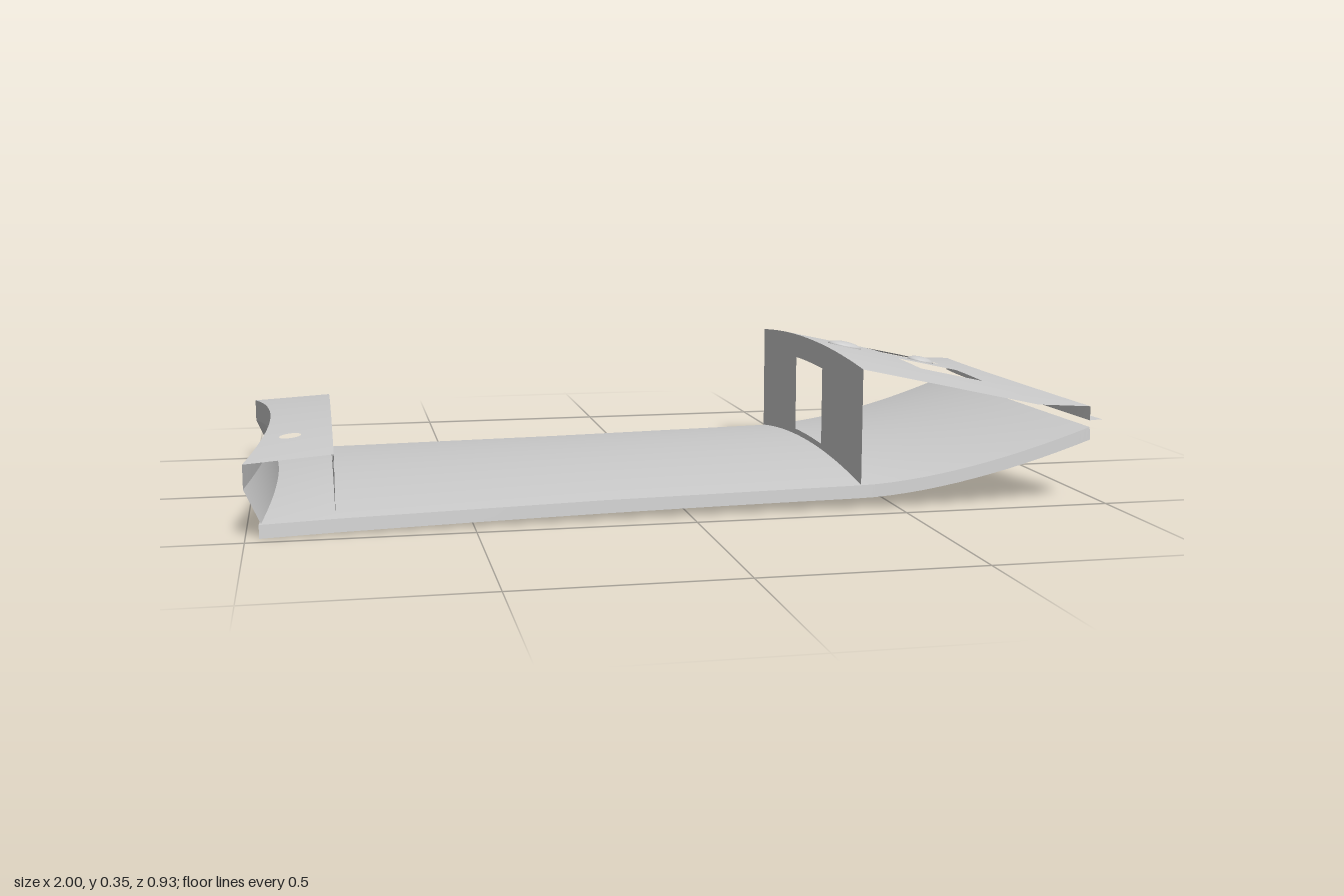
import * as THREE from 'three';

const mat = new THREE.MeshStandardMaterial({ color: 0xcccccc, side: THREE.DoubleSide });

// Plan outline: slightly waisted, wider at both ends
const halfWidth = x => 0.428 + 0.036 * x * x;

// A row is [centre x, centre y, edge x, edge y]; t runs -1..1 across the width
const at = ([xc, yc, xe, ye], t) => {
  const x = xc + (xe - xc) * t * t;
  return [x, yc + (ye - yc) * t * t, t * halfWidth(x)];
};
const mix = (a, b, u) => a.map((v, i) => v + (b[i] - v) * u);

function gridGeometry(points, skip = () => false) {
  const cols = points[0].length, index = [];
  for (let i = 0; i < points.length - 1; i++)
    for (let j = 0; j < cols - 1; j++) {
      if (skip(i, j)) continue;
      const a = i * cols + j, b = a + cols;
      index.push(a, a + 1, b, b, a + 1, b + 1);
    }
  const g = new THREE.BufferGeometry();
  g.setAttribute('position', new THREE.Float32BufferAttribute(points.flat(2), 3));
  g.setIndex(index);
  g.computeVertexNormals();
  return g;
}

// Columns across the width, with extra ones at cutout edges
function columns(extra = []) {
  const base = Array.from({ length: 33 }, (_, i) => -1 + i / 16);
  return [...new Set([...base, ...extra])].sort((a, b) => a - b);
}

export function createModel() {
  const model = new THREE.Group();
  const add = (name, geometry) => {
    const m = new THREE.Mesh(geometry, mat);
    m.name = name;
    model.add(m);
    return m;
  };

  // Crowned sheet; cut(row, t) removes cells
  const sheet = (name, rows, extra, cut) => {
    const ts = columns(extra);
    const skip = cut && ((i, j) => cut(i, (ts[j] + ts[j + 1]) / 2));
    return add(name, gridGeometry(rows.map(r => ts.map(t => at(r, t))), skip));
  };

  // Floor: nearly flat, sweeping up at the +x end
  const floorRows = [[-0.95, 0.05, -0.97, 0.03], [-0.8, 0.064, -0.8, 0.034],
    [-0.2, 0.075, -0.2, 0.045], [0.4, 0.085, 0.4, 0.055]];
  for (let i = 1; i <= 14; i++) {
    const s = i / 14, rise = s ** 1.7;
    floorRows.push([0.4 + 0.505 * s, 0.085 + 0.115 * rise, 0.4 + 0.57 * s, 0.055 + 0.125 * rise]);
  }
  sheet('floor', floorRows);

  // Lips hanging from both long edges of the floor
  for (const side of [-1, 1]) {
    const fine = [];
    for (let i = 0; i < floorRows.length - 1; i++)
      for (let k = 0; k < 4; k++) fine.push(mix(floorRows[i], floorRows[i + 1], k / 4));
    fine.push(floorRows.at(-1));
    const lip = fine.map(r => {
      const [x, y, z] = at(r, side);
      return [[x, y, z], [x, y - 0.03, z + side * 0.004]];
    });
    add('sideLip', gridGeometry(lip));
  }

  // Bulkhead with a doorway
  const door = 0.265;
  sheet('bulkhead',
    [[0.41, 0.086, 0.41, 0.056], [0.41, 0.1, 0.41, 0.07], [0.41, 0.292, 0.41, 0.27], [0.41, 0.352, 0.41, 0.33]],
    [-door, door], (i, t) => i === 1 && Math.abs(t) < door);

  // Sloping deck with two square hatches
  const deckA = [0.41, 0.352, 0.41, 0.33], deckB = [0.82, 0.262, 0.84, 0.237];
  const deckRows = [0, 0.535, 0.925, 1].map(u => mix(deckA, deckB, u));
  const h0 = 0.135, h1 = 0.495;
  sheet('deck', deckRows, [-h1, -h0, h0, h1],
    (i, t) => i === 1 && Math.abs(t) > h0 && Math.abs(t) < h1);

  // Deck end, rim band and projecting flange
  const rimTop = [0.905, 0.25, 0.97, 0.23], rimLow = [0.905, 0.215, 0.97, 0.196];
  sheet('deckEnd', [deckB, rimTop]);
  sheet('rim', [rimTop, rimLow]);
  sheet('flange', [rimLow, [0.925, 0.218, 1, 0.198]]);

  // Low hoods on the deck
  for (const [x, z, lx, lz] of [[0.505, 0, 0.045, 0.03], [0.72, -0.02, 0.035, 0.03]]) {
    const hood = add('hood', new THREE.SphereGeometry(1, 20, 6, 0, Math.PI * 2, 0, Math.PI / 2));
    hood.scale.set(lx, 0.012, lz);
    hood.position.set(x, 0.352 - (x - 0.41) * 0.2195, z);
    hood.rotation.z = -0.216;
  }

  // Low box at the -x end: inner wall with two openings
  const w0 = 0.25, w1 = 0.6;
  sheet('boxInnerWall',
    [[-0.805, 0.064, -0.805, 0.034], [-0.805, 0.105, -0.805, 0.08], [-0.805, 0.172, -0.805, 0.15], [-0.805, 0.2, -0.805, 0.178]],
    [-w1, -w0, w0, w1], (i, t) => i === 1 && Math.abs(t) > w0 && Math.abs(t) < w1);

  // Box top with a round port
  const topA = [-0.95, 0.188, -1, 0.165], topB = [-0.805, 0.2, -0.805, 0.178];
  const uc = 0.4, tc = 0.5275, du = 0.2, dt = 0.0775;
  sheet('boxTop', [0, uc - du, uc + du, 1].map(u => mix(topA, topB, u)), [tc - dt, tc + dt],
    (i, t) => i === 1 && Math.abs(t - tc) < dt);
  const ring = [];
  for (let k = 0; k <= 24; k++) {
    const a = -k / 24 * Math.PI * 2, c = Math.cos(a), s = Math.sin(a);
    const f = 1 / Math.max(Math.abs(c), Math.abs(s));
    ring.push([[du * f, dt * f], [0.157, 0.055]].map(([ru, rt]) =>
      at(mix(topA, topB, uc + ru * c), tc + rt * s)));
  }
  add('portSurround', gridGeometry(ring));

  // Box end wall, bent inward towards the floor
  const bend = [-0.95, 0.135, -1, 0.11];
  sheet('endWallUpper', [bend, topA]);
  sheet('endWallLower', [[-0.935, 0.052, -0.965, 0.032], bend]);

  return model;
}
